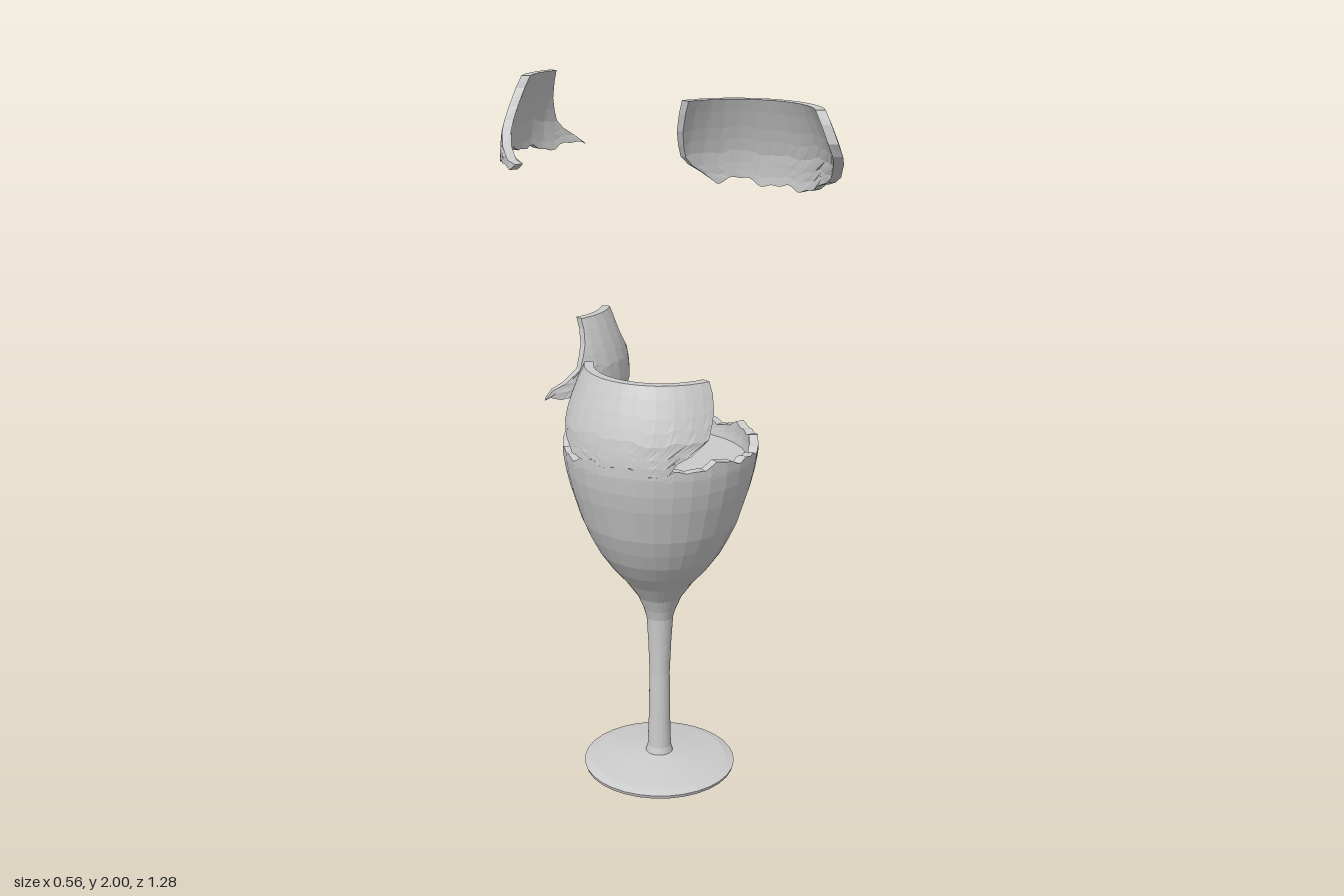
import * as THREE from 'three';

const SIDES = 32;
const RIM = 1.25;
const WALL = 0.026;

// Outer silhouette of the glass as [radius, height]
const BASE = [[0, 0], [0.222, 0], [0.225, 0.01], [0.2, 0.018], [0.1, 0.033], [0.04, 0.04]];
const STEM = [[0.035, 0.06], [0.032, 0.15], [0.03, 0.3], [0.034, 0.4], [0.039, 0.48]];
const BOWL = [[0.048, 0.51], [0.065, 0.55], [0.1, 0.6], [0.143, 0.65], [0.178, 0.7], [0.204, 0.75],
  [0.226, 0.8], [0.257, 0.9], [0.269, 0.95]];
const UPPER = [[0.277, 1.0], [0.278, 1.04], [0.272, 1.1], [0.257, 1.15], [0.238, 1.2], [0.215, RIM]];
const PROFILE = [...BOWL, ...UPPER];

// Radius at a height, following the silhouette
function radiusAt(y) {
  for (let i = 1; i < PROFILE.length; i++) {
    const [r0, y0] = PROFILE[i - 1], [r1, y1] = PROFILE[i];
    if (y <= y1) return THREE.MathUtils.mapLinear(y, y0, y1, r0, r1);
  }
  return PROFILE[PROFILE.length - 1][0];
}

// Flattens the round section into the same flat sides as the lathe
function facet(a) {
  const step = (2 * Math.PI) / SIDES;
  const local = a - Math.floor(a / step) * step;
  return Math.cos(step / 2) / Math.cos(local - step / 2);
}

// Jagged height of the break around the bowl
const breakHeight = a => 1.024 + 0.009 * Math.sin(5 * a + 1) + 0.007 * Math.sin(13 * a) + 0.004 * Math.sin(29 * a);

// Side cracks: angle in degrees at each level from the break up to the rim
const LEVELS = [0, 0.1, 0.2, 0.35, 0.5, 0.65, 0.85, 1];
const CRACKS = [
  [-25, -20, -12, -1, 3, 6, 8, 8],
  [89, 82, 74, 64, 57, 53, 54, 57],
  [160, 168, 176, 181, 184, 187, 189, 190],
  [277, 268, 257, 250, 246, 242, 237, 235],
];

// Closed curved piece of wall between two cracks and two heights
function wallPiece(start, end, bottom, top, columns) {
  const n = LEVELS.length, pos = [], index = [];
  for (let j = 0; j <= columns; j++) {
    for (let k = 0; k < 2 * n; k++) {
      const inner = k >= n;
      const i = inner ? 2 * n - 1 - k : k;
      const a = THREE.MathUtils.degToRad(THREE.MathUtils.lerp(start[i], end[i], j / columns));
      const y = THREE.MathUtils.lerp(bottom(a), top(a), LEVELS[i]);
      const r = (radiusAt(y) - (inner ? WALL : 0)) * facet(a);
      pos.push(r * Math.sin(a), y, r * Math.cos(a));
    }
  }
  const id = (j, k) => j * 2 * n + (k % (2 * n));
  for (let j = 0; j < columns; j++) {
    for (let k = 0; k < 2 * n; k++) {
      index.push(id(j, k), id(j + 1, k), id(j + 1, k + 1), id(j, k), id(j + 1, k + 1), id(j, k + 1));
    }
  }
  // Broken side faces
  for (let i = 0; i < n - 1; i++) {
    const o = i, p = i + 1, q = 2 * n - 2 - i, s = 2 * n - 1 - i;
    index.push(id(0, o), id(0, p), id(0, q), id(0, o), id(0, q), id(0, s));
    const c = columns;
    index.push(id(c, o), id(c, q), id(c, p), id(c, o), id(c, s), id(c, q));
  }
  const geo = new THREE.BufferGeometry();
  geo.setAttribute('position', new THREE.Float32BufferAttribute(pos, 3));
  geo.setIndex(index);
  return geo;
}

export function createModel() {
  const group = new THREE.Group();
  const material = new THREE.MeshStandardMaterial({ color: 0xcccccc, flatShading: true });
  const add = (name, geometry, x = 0, y = 0, z = 0) => {
    const flat = geometry.index ? geometry.toNonIndexed() : geometry;
    flat.computeVertexNormals();
    const mesh = new THREE.Mesh(flat, material);
    mesh.name = name;
    mesh.position.set(x, y, z);
    group.add(mesh);
    return mesh;
  };
  const lathe = pts => new THREE.LatheGeometry(pts.map(p => new THREE.Vector2(p[0], p[1])), SIDES);

  // Foot, stem and hollow lower bowl
  add('foot', lathe(BASE));
  add('stem', lathe([BASE[BASE.length - 1], ...STEM, BOWL[0]]));
  const inside = BOWL.slice(1).reverse().map(([r, y]) => [r - WALL, y]);
  add('bowl', lathe([...BOWL, ...inside, [0, 0.54]]));

  // Jagged upper edge of the bowl
  const around = d => LEVELS.map(() => d);
  add('brokenEdge', wallPiece(around(0), around(360), () => 0.95, breakHeight, 96));

  // Drink surface
  const drink = new THREE.CircleGeometry(0.247, SIDES);
  drink.rotateX(-Math.PI / 2);
  add('drink', drink, 0, 0.975, 0);

  // Rim shards: one still in place, three thrown clear
  const shards = [
    ['frontLeftShard', 0, -0.755],
    ['backLeftShard', 0.75, 0.38],
    ['backRightShard', 0.75, -0.373],
    ['standingShard', 0, 0],
  ];
  shards.forEach(([name, y, z], i) => {
    const end = i < 3 ? CRACKS[i + 1] : CRACKS[0].map(a => a + 360);
    add(name, wallPiece(CRACKS[i], end, breakHeight, () => RIM, 32), 0, y, z);
  });

  // The glass stands forward of the centre
  group.children.forEach(mesh => { mesh.position.z += 0.113; });
  return group;
}
